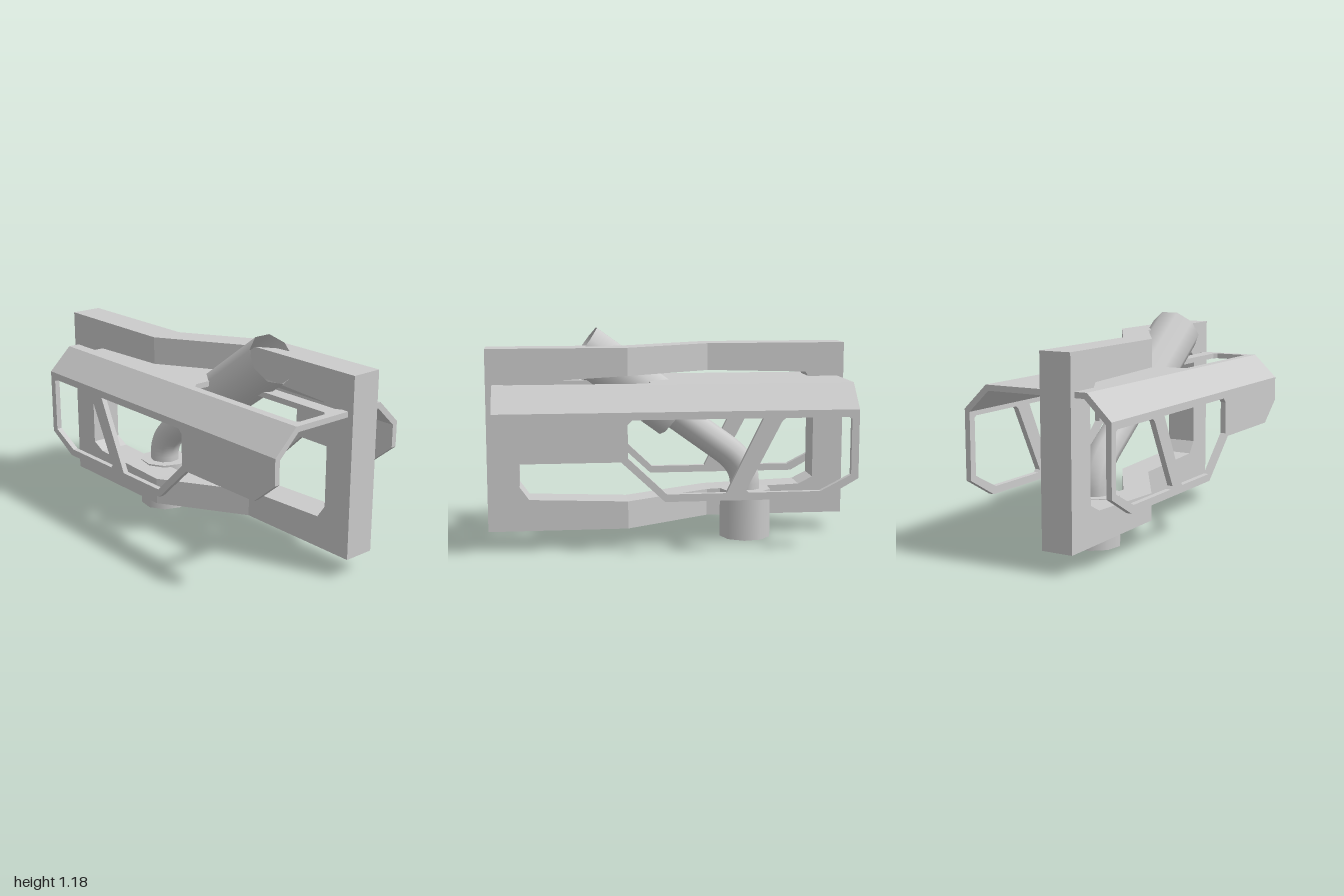
import * as THREE from 'three';

const grey = new THREE.MeshStandardMaterial({ color: 0xcccccc });
const greyOpen = new THREE.MeshStandardMaterial({ color: 0xcccccc, side: THREE.DoubleSide });

const points = (list) => list.map(([x, y]) => new THREE.Vector2(x, y));

// Flat outline with optional holes, extruded along +z
function extrude(outline, depth, holes = []) {
  const shape = new THREE.Shape(points(outline));
  for (const h of holes) shape.holes.push(new THREE.Path(points(h)));
  return new THREE.ExtrudeGeometry(shape, { depth, bevelEnabled: false });
}

function add(parent, name, geometry, material = grey) {
  const mesh = new THREE.Mesh(geometry, material);
  mesh.name = name;
  parent.add(mesh);
  return mesh;
}

// Upright ring frame that jogs backwards between two bends
function buildFrame() {
  const frame = new THREE.Group();
  frame.name = 'frame';
  const bendA = -0.22, bendB = 0.25, bottom = 0.11, top = 1.09;
  const pieces = {
    frameRightEnd: [[-1, bottom], [bendA, bottom], [bendA, 0.26], [-0.75, 0.28], [-0.83, 0.32],
      [-0.83, 0.85], [-0.78, 0.925], [bendA, 0.94], [bendA, top], [-1, top]],
    frameLowerBar: [[bendA, bottom], [bendB, bottom], [bendB, 0.26], [bendA, 0.26]],
    frameUpperBar: [[bendA, 0.94], [bendB, 0.94], [bendB, top], [bendA, top]],
    frameLeftEnd: [[bendB, bottom], [1, bottom], [1, top], [bendB, top], [bendB, 0.94],
      [0.8, 0.91], [0.83, 0.85], [0.83, 0.35], [0.78, 0.28], [bendB, 0.26]],
  };
  for (const [name, outline] of Object.entries(pieces)) {
    const geo = extrude(outline, 0.175);
    const p = geo.attributes.position;
    for (let i = 0; i < p.count; i++) {
      const t = THREE.MathUtils.clamp((p.getX(i) - bendA) / (bendB - bendA), 0, 1);
      p.setZ(i, p.getZ(i) + THREE.MathUtils.lerp(0.053, -0.232, t));
    }
    geo.computeVertexNormals();
    add(frame, name, geo);
  }
  return frame;
}

// Folded cover: slotted roof, sloping shoulders and pierced side panels
function buildCover() {
  const cover = new THREE.Group();
  cover.name = 'cover';
  const half = 0.965;

  const slot = (s) => [[0.125, 0.04], [0.9, 0.04], [0.92, 0.06], [0.92, 0.225], [0.9, 0.247],
    [0.155, 0.247], [0.125, 0.215]].map(([x, z]) => [x, s * z]);
  const roof = extrude([[-half, -0.28], [half, -0.28], [half, 0.28], [-half, 0.28]], 0.03, [slot(1), slot(-1)]);
  add(cover, 'roof', roof.rotateX(-Math.PI / 2).translate(0, 0.87, 0));

  const panel = [[-half, 0.77], [-half, 0.4], [-0.78, 0.295], [0.07, 0.295], [0.3, 0.51],
    [0.82, 0.51], [half, 0.63], [half, 0.77]];
  const windows = [
    [[-0.925, 0.72], [-0.925, 0.42], [-0.76, 0.335], [-0.375, 0.335], [-0.36, 0.35], [-0.55, 0.715], [-0.57, 0.73], [-0.91, 0.73]],
    [[-0.45, 0.73], [-0.255, 0.335], [0.06, 0.335], [0.265, 0.53], [0.265, 0.705], [0.24, 0.73]],
  ];
  for (const s of [1, -1]) {
    const section = [[0.28, 0.9], [0.295, 0.9], [0.43, 0.77], [0.4, 0.755], [0.28, 0.87]];
    const shoulder = extrude(section.map(([z, y]) => [-s * z, y]), half * 2);
    add(cover, 'shoulder', shoulder.rotateY(Math.PI / 2).translate(-half, 0, 0));
    add(cover, 'sidePanel', extrude(panel, 0.03, windows).translate(0, 0, s > 0 ? 0.4 : -0.43));
  }
  return cover;
}

// Pedestal, bent pipe and wide open barrel
function buildPipe() {
  const pipe = new THREE.Group();
  pipe.name = 'pipe';
  const sides = 9, radius = 0.143;

  const base = new THREE.CylinderGeometry(radius, radius, 0.275, sides, 1, false, Math.PI / 2);
  add(pipe, 'pedestal', base.translate(-0.43, 0.1375, 0));

  const v = (x, y) => new THREE.Vector3(x, y, 0);
  const path = new THREE.CurvePath();
  path.add(new THREE.LineCurve3(v(-0.43, 0.25), v(-0.43, 0.3)));
  path.add(new THREE.QuadraticBezierCurve3(v(-0.43, 0.3), v(-0.43, 0.415), v(-0.31, 0.502)));
  path.add(new THREE.LineCurve3(v(-0.31, 0.502), v(-0.02, 0.712)));
  add(pipe, 'bentPipe', new THREE.TubeGeometry(path, 24, 0.085, sides, false));

  const barrel = new THREE.Group();
  barrel.name = 'barrel';
  const length = 0.63;
  const wall = new THREE.CylinderGeometry(radius, radius, length, sides, 1, true, Math.PI / 2);
  add(barrel, 'barrelWall', wall.translate(0, length / 2, 0), greyOpen);
  add(barrel, 'barrelFloor', new THREE.CircleGeometry(radius, sides).rotateX(Math.PI / 2), greyOpen);
  barrel.position.set(-0.03, 0.705, 0);
  barrel.rotation.z = -0.944;
  pipe.add(barrel);
  return pipe;
}

export function createModel() {
  const model = new THREE.Group();
  model.name = 'model';
  model.add(buildFrame(), buildCover(), buildPipe());
  return model;
}
